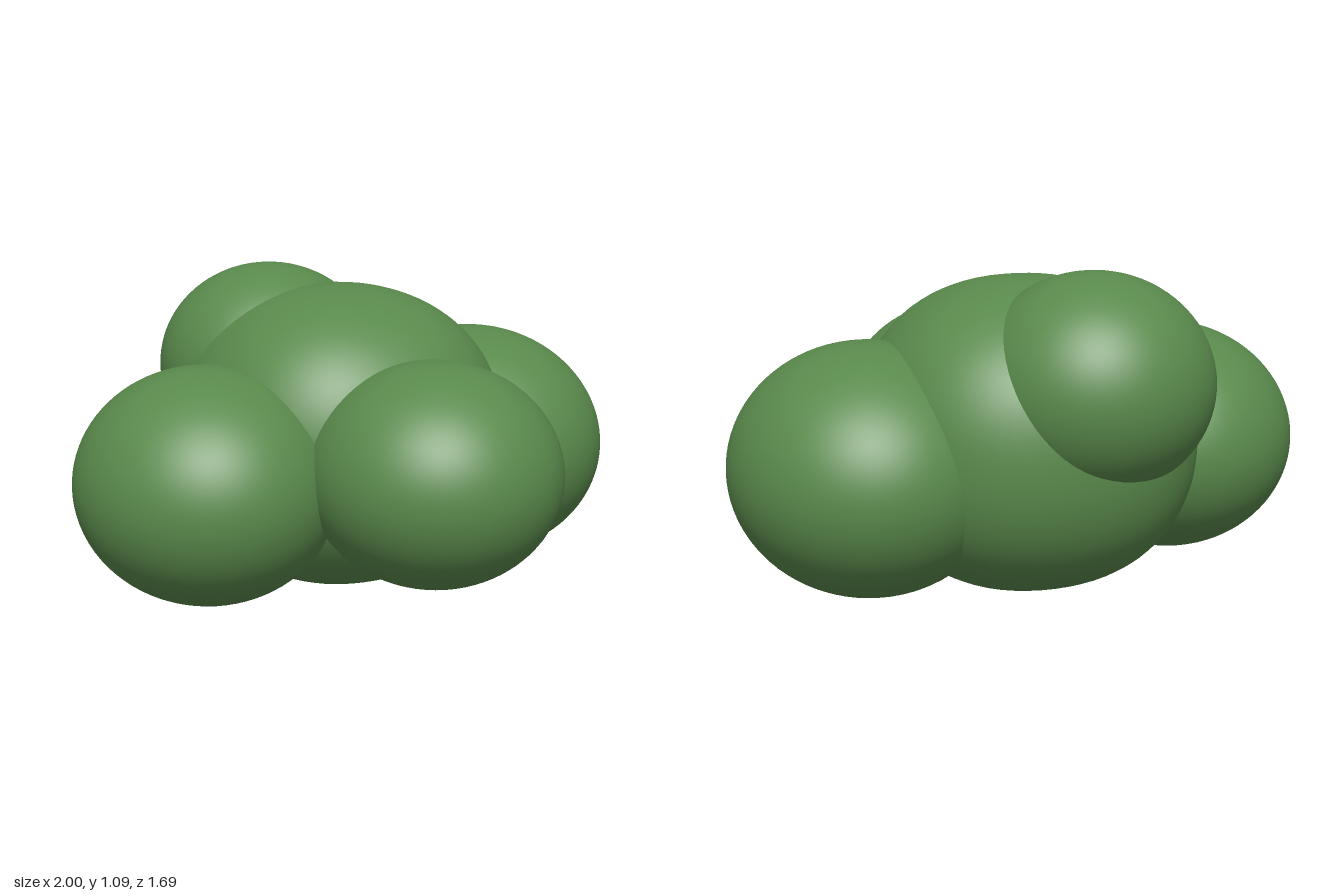
import * as THREE from 'three';
import { mergeVertices } from 'three/addons/utils/BufferGeometryUtils.js';

const leaf = new THREE.MeshStandardMaterial({ color: 0x5a8a4c });
leaf.name = 'leafGreen';

// Smooth rounded clump; power above 2 makes it slightly fuller at the corners
function clump(name, center, radii, power = 2) {
  let geometry = new THREE.IcosahedronGeometry(1, 14);
  geometry.deleteAttribute('uv');
  geometry.deleteAttribute('normal');
  geometry = mergeVertices(geometry, 1e-4);
  const p = geometry.attributes.position;
  const v = new THREE.Vector3();
  for (let i = 0; i < p.count; i++) {
    v.fromBufferAttribute(p, i);
    const sum = Math.abs(v.x) ** power + Math.abs(v.y) ** power + Math.abs(v.z) ** power;
    v.multiplyScalar(sum ** (-1 / power));
    p.setXYZ(i, v.x * radii[0], v.y * radii[1], v.z * radii[2]);
  }
  geometry.computeVertexNormals();
  const mesh = new THREE.Mesh(geometry, leaf);
  mesh.name = name;
  mesh.position.set(...center);
  return mesh;
}

export function createModel() {
  const bush = new THREE.Group();
  bush.name = 'bush';
  bush.add(
    // Large middle mass
    clump('centerClump', [0, 0.52, -0.165], [0.56, 0.52, 0.58], 2.2),
    // Four overlapping lobes around it
    clump('rightClump', [-0.56, 0.435, 0], [0.44, 0.395, 0.47]),
    clump('leftClump', [0.54, 0.435, -0.178], [0.46, 0.415, 0.508]),
    clump('frontClump', [0.07, 0.495, 0.41], [0.42, 0.37, 0.435]),
    clump('backClump', [-0.14, 0.73, -0.45], [0.39, 0.36, 0.395]),
  );
  return bush;
}
